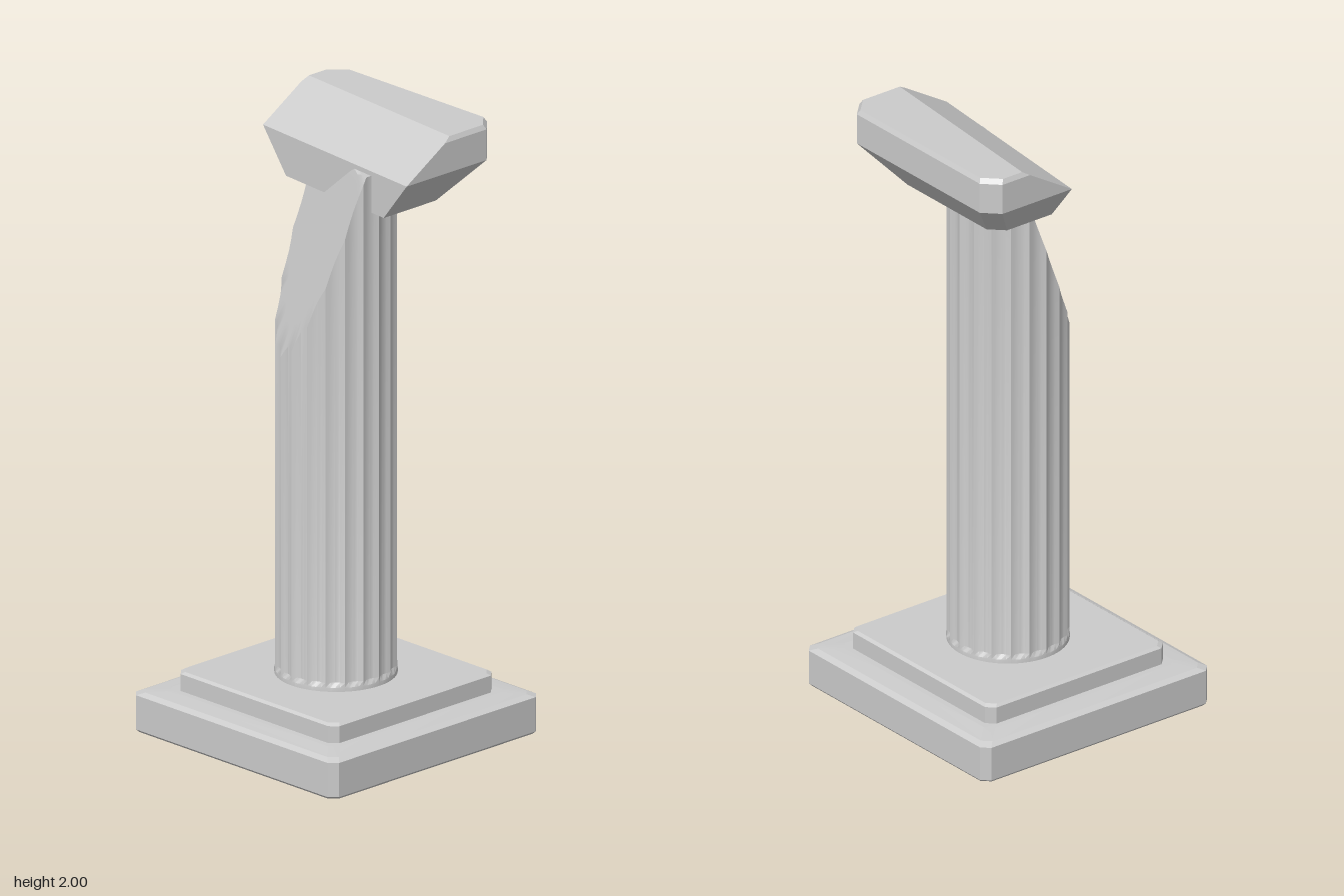
import * as THREE from 'three';
import { toCreasedNormals } from 'three/addons/utils/BufferGeometryUtils.js';

const material = new THREE.MeshStandardMaterial({ color: 0xcccccc });

// Skin a stack of equal-length loops (counter-clockwise seen from above) and close both ends
function loft(sections) {
  const n = sections[0].length;
  const pos = sections.flat(2);
  const index = [];
  for (let s = 0; s < sections.length - 1; s++) {
    for (let i = 0; i < n; i++) {
      const j = (i + 1) % n;
      const a = s * n + i, b = s * n + j, c = a + n, d = b + n;
      index.push(a, b, d, a, d, c);
    }
  }
  const top = (sections.length - 1) * n;
  for (let i = 1; i < n - 1; i++) {
    index.push(0, i + 1, i);
    index.push(top, top + i, top + i + 1);
  }
  const g = new THREE.BufferGeometry();
  g.setAttribute('position', new THREE.Float32BufferAttribute(pos, 3));
  g.setIndex(index);
  return g;
}

function part(name, geometry, crease = 0.1) {
  const mesh = new THREE.Mesh(toCreasedNormals(geometry, crease), material);
  mesh.name = name;
  return mesh;
}

// Square loop with clipped corners
function clippedSquare(y, h, c) {
  return [
    [-h + c, y, h], [h - c, y, h], [h, y, h - c], [h, y, -h + c],
    [h - c, y, -h], [-h + c, y, -h], [-h, y, -h + c], [-h, y, h - c],
  ];
}

// Half of a clipped square, broken off along a slightly skewed front line
function brokenSquare(y, h, c, front) {
  const frontZ = (x) => front + 0.1 * x;
  return [
    [-h, y, frontZ(-h)], [h, y, frontZ(h)], [h, y, -h + c],
    [h - c, y, -h], [-h + c, y, -h], [-h, y, -h + c],
  ];
}

// Fluted shaft whose top is sheared off by a slanting fracture
function shaftGeometry() {
  const flutes = 20, steps = 4, radius = 0.19, depth = 0.01;
  const fracture = (x, z) =>
    Math.min(1.87, 1.26 + 1.1 * (x + 0.08) + 2.7 * (0.17 - z));
  const ring = (height, fluteDepth, scale = 1) => {
    const loop = [];
    for (let i = 0; i < flutes * steps; i++) {
      const t = (i / (flutes * steps)) * Math.PI * 2;
      const u = (i % steps) / steps;
      const r = (radius - fluteDepth * Math.sin(u * Math.PI)) * scale;
      const x = Math.sin(t) * r, z = Math.cos(t) * r;
      loop.push([x, height ?? fracture(x, z), z]);
    }
    return loop;
  };
  const sections = [ring(0.19, 0), ring(0.21, 0), ring(0.225, depth)];
  for (const scale of [1, 0.85, 0.7, 0.55, 0.4, 0.25, 0.1]) {
    sections.push(ring(null, depth, scale));
  }
  return loft(sections);
}

export function createModel() {
  const model = new THREE.Group();
  model.name = 'brokenColumn';

  // Two stepped plinths with softened edges
  model.add(part('lowerPlinth', loft([
    clippedSquare(0, 0.44, 0.025),
    clippedSquare(0.008, 0.447, 0.025),
    clippedSquare(0.12, 0.447, 0.025),
    clippedSquare(0.129, 0.427, 0.025),
    clippedSquare(0.135, 0.37, 0.025),
  ])));
  model.add(part('upperPlinth', loft([
    clippedSquare(0.13, 0.35, 0.025),
    clippedSquare(0.19, 0.35, 0.025),
    clippedSquare(0.197, 0.34, 0.025),
  ])));

  model.add(part('shaft', shaftGeometry(), 0.5));

  // Surviving rear half of the flared capital
  model.add(part('capital', loft([
    brokenSquare(1.75, 0.24, 0.045, 0.005),
    brokenSquare(1.885, 0.353, 0.05, 0.005),
    brokenSquare(1.985, 0.353, 0.05, -0.16),
    brokenSquare(2, 0.345, 0.05, -0.185),
  ])));

  return model;
}
